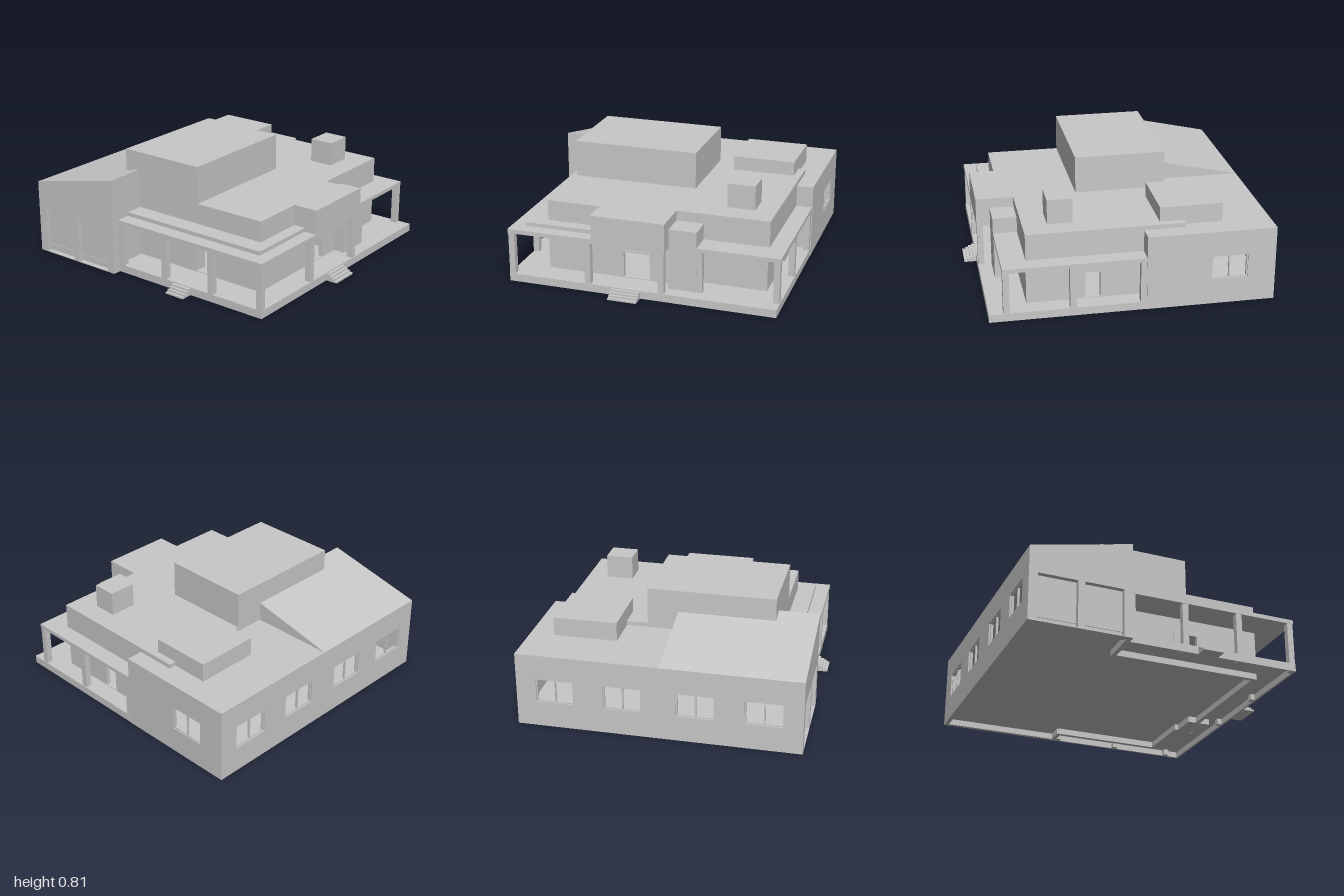
import * as THREE from 'three';

export function createModel() {
  const house = new THREE.Group();
  house.name = 'house';
  const grey = new THREE.MeshStandardMaterial({ color: 0xc8c8c8 });
  grey.name = 'plain grey';
  const T = 0.03; // wall thickness

  const add = (name, geo) => {
    const mesh = new THREE.Mesh(geo, grey);
    mesh.name = name;
    house.add(mesh);
    return mesh;
  };
  // box given by its limits
  const box = (name, x0, x1, y0, y1, z0, z1) =>
    add(name, new THREE.BoxGeometry(x1 - x0, y1 - y0, z1 - z0)
      .translate((x0 + x1) / 2, (y0 + y1) / 2, (z0 + z1) / 2));
  const outline = (pts) => new THREE.Shape(pts.map(([a, b]) => new THREE.Vector2(a, b)));
  const extrude = (shape, depth) => new THREE.ExtrudeGeometry(shape, { depth, bevelEnabled: false });

  // slab from a plan of [x, z] corners
  const slab = (name, plan, y0, y1) =>
    add(name, extrude(outline(plan.map(([x, z]) => [x, -z])), y1 - y0)
      .rotateX(-Math.PI / 2).translate(0, y0, 0));

  // wall outline with rectangular openings [a0, a1, b0, b1]
  const pierced = (pts, holes) => {
    const s = outline(pts);
    for (const [a0, a1, b0, b1] of holes)
      s.holes.push(new THREE.Path([[a0, b0], [a0, b1], [a1, b1], [a1, b0]].map((p) => new THREE.Vector2(...p))));
    return s;
  };
  const rect = (a, b, h) => [[a, 0], [b, 0], [b, h], [a, h]];
  const wallX = (name, x0, x1, z, h, holes = []) =>
    add(name, extrude(pierced(rect(x0, x1, h), holes), T).translate(0, 0, z));
  const wallZ = (name, z0, z1, x, h, holes = []) =>
    add(name, extrude(pierced(rect(z0, z1, h), holes), T).rotateY(-Math.PI / 2).translate(x + T, 0, 0));

  // Raised floor and deck, hollow underneath, with a thin skirt round the deck
  slab('floor', [[-0.98, -0.965], [-0.15, -0.965], [-0.15, -0.975], [0.915, -0.975], [0.915, 0.89],
    [-0.3, 0.89], [-0.3, 0.92], [-0.98, 0.92]], 0.043, 0.055);
  box('frontSkirt', -0.295, 0.915, 0, 0.05, 0.875, 0.89);
  box('sideSkirt', 0.9, 0.915, 0, 0.05, -0.975, 0.89);
  box('backSkirt', -0.13, 0.915, 0, 0.05, -0.975, -0.96);

  // Left-hand wing with four side windows and one at the back
  const [W0, W1] = [0.18, 0.347];
  const sideWindows = [[-0.84, -0.58], [-0.38, -0.12], [0.11, 0.37], [0.565, 0.825]];
  wallZ('wingSideWall', -0.975, 0.95, -1, 0.52, sideWindows.map(([a, b]) => [a, b, W0, W1]));
  wallX('wingBackWall', -1, -0.13, -0.977, 0.52, [[-0.81, -0.56, W0, W1]]);
  wallZ('wingEndWall', -0.975, -0.83, -0.16, 0.52);
  box('wingRoof', -1, -0.4, 0.48, 0.52, -0.977, 0.02);
  box('wingRoofEnd', -0.41, -0.13, 0.48, 0.52, -0.977, -0.84);

  // Window frames with a centre bar
  const B = 0.005;
  for (const [a, b] of sideWindows) {
    for (const z of [a + B, (a + b) / 2, b - B])
      box('windowBar', -0.99, -0.975, W0, W1, z - B, z + B);
    for (const y of [W0, W1 - 0.008]) box('windowRail', -0.99, -0.975, y, y + 0.008, a, b);
  }
  for (const x of [-0.805, -0.685, -0.565])
    box('windowBar', x - B, x + B, W0, W1, -0.97, -0.955);
  for (const y of [W0, W1 - 0.008]) box('windowRail', -0.81, -0.56, y, y + 0.008, -0.97, -0.955);

  // Garage with sloping roof and two recessed doors
  const slope = (bottom) => [[-1, bottom], [-0.295, bottom], [-0.295, 0.68], [-1, 0.52]];
  add('garageRoof', extrude(outline(slope(0.46)), 0.92).translate(0, 0, -0.005));
  const doors = [[-0.94, -0.67], [-0.625, -0.355]];
  add('garageFront', extrude(pierced(slope(0), doors.map(([a, b]) => [a, b, 0.006, 0.335])), 0.04)
    .translate(0, 0, 0.91));
  for (const [a, b] of doors) box('garageDoor', a - 0.01, b + 0.01, 0, 0.34, 0.895, 0.915);
  wallZ('garageInnerWall', 0.64, 0.94, -0.295 - T, 0.6);

  // Main walls with doors to the porches, and one partition
  wallX('frontWall', -0.32, 0.74, 0.637, 0.5, [[0.2, 0.295, 0.06, 0.24]]);
  wallZ('sideWall', -0.22, 0.665, 0.71, 0.5, [[-0.06, 0.125, 0.06, 0.25]]);
  wallX('backWall', -0.15, 0.655, -0.85, 0.5, [[0.16, 0.26, 0.06, 0.24]]);
  wallZ('rearSideWall', -0.85, -0.4, 0.625, 0.5);
  box('partition', -0.3, 0.7, 0.05, 0.4, -0.24, -0.21);
  box('sideBay', 0.65, 0.82, 0, 0.48, -0.41, -0.215);
  // window beside the front door, opened door leaf, side door lintel
  box('frontSideLight', 0.12, 0.18, 0.06, 0.235, 0.66, 0.671);
  box('frontDoorLeaf', 0.195, 0.203, 0.06, 0.24, 0.575, 0.665);
  box('sideDoorLintel', 0.735, 0.747, 0.245, 0.257, -0.065, 0.13);

  // Main roof block, overhanging the side entrance
  slab('mainRoof', [[-0.41, -0.86], [0.655, -0.86], [0.655, -0.22], [0.915, -0.22], [0.915, 0.29],
    [0.74, 0.29], [0.74, 0.667], [-0.41, 0.667]], 0.365, 0.55);
  box('entranceOverhang', 0.74, 0.915, 0.35, 0.54, -0.22, 0.29);

  // Blocks on the roof
  box('upperStorey', -0.41, 0.22, 0.5, 0.808, -0.22, 0.668);
  box('roofBox', -0.67, -0.245, 0.5, 0.65, -0.81, -0.368);
  box('chimney', 0.32, 0.49, 0.5, 0.718, -0.715, -0.523);

  // Porch roofs
  const frontPlan = (x, z) => [[-0.295, 0.65], [0.73, 0.65], [0.73, 0.285], [x, 0.285], [x, z], [-0.295, z]];
  slab('frontPorchRoof', frontPlan(0.915, 0.893), 0.35, 0.38);
  slab('frontPorchUpperRoof', frontPlan(0.825, 0.793), 0.375, 0.407);
  slab('backPorchRoof', [[-0.14, -0.975], [0.82, -0.975], [0.82, -0.4], [0.64, -0.4], [0.64, -0.85],
    [-0.14, -0.85]], 0.343, 0.37);

  // Porch posts
  const post = (x, z) => box('porchPost', x - 0.021, x + 0.021, 0, 0.36, z - 0.021, z + 0.021);
  for (const x of [-0.273, 0.105, 0.5, 0.891]) post(x, 0.869);
  for (const z of [0.32, -0.193]) post(0.891, z);
  for (const x of [-0.11, 0.36, 0.798]) post(x, -0.95);
  post(0.798, -0.428);

  // Steps
  for (let i = 0; i < 4; i++) {
    const top = 0.012 * (i + 1);
    const reach = 0.02 * (4 - i);
    box('frontStep', 0.19, 0.335, top - 0.012, top, 0.88, 0.893 + reach);
    box('sideStep', 0.9, 0.915 + reach * 1.06, top - 0.012, top, -0.05, 0.15);
  }
  return house;
}
